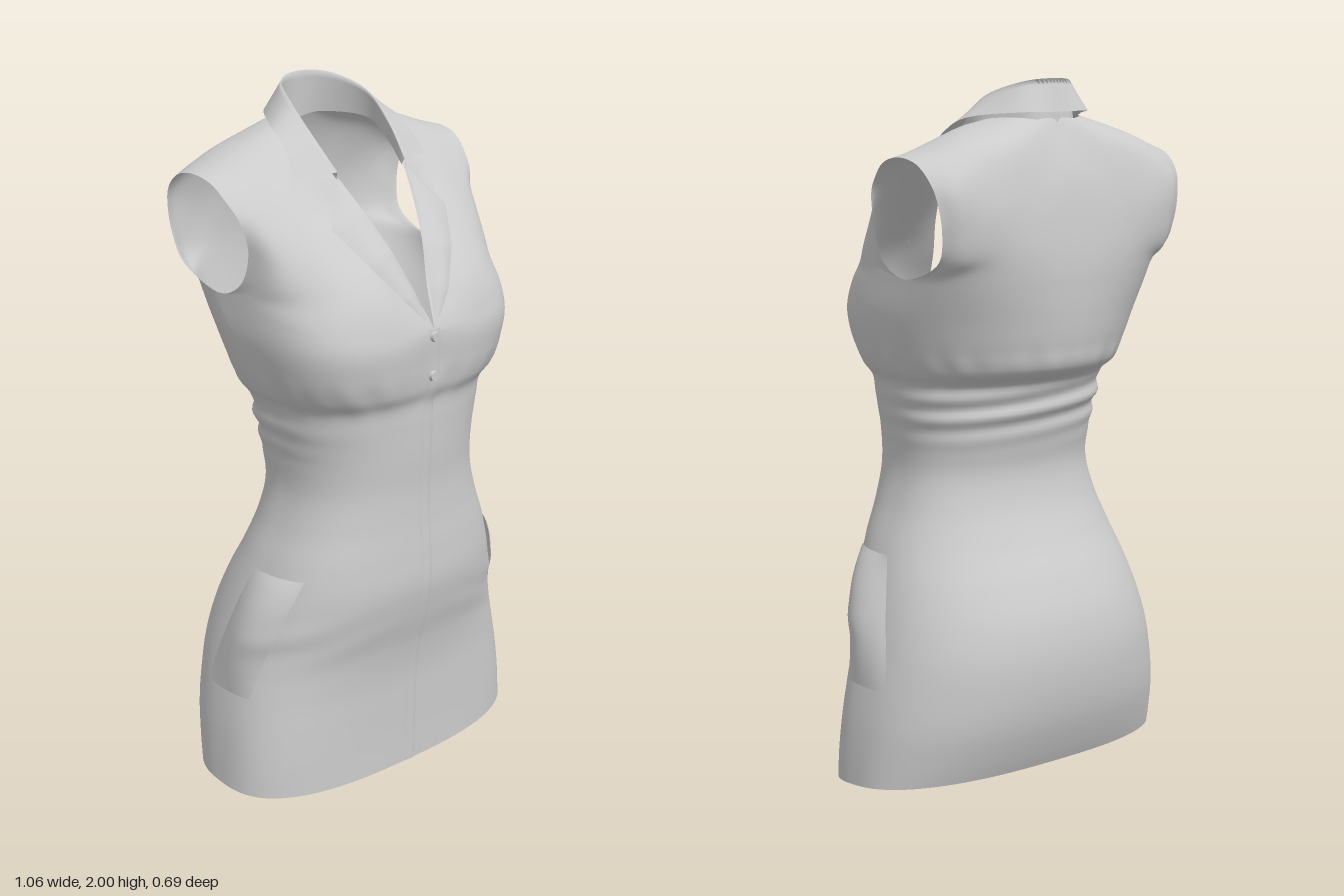
import * as THREE from 'three';
import { mergeGeometries, mergeVertices } from 'three/addons/utils/BufferGeometryUtils.js';

const V = (p) => new THREE.Vector3(...p);
const { lerp } = THREE.MathUtils;
const bell = (x, c, w) => Math.exp(-(((x - c) / w) ** 2));

// Cross-sections: y, half width, front z, back z, z of widest point, front and back squareness
const SECTIONS = [
  [0, .53, .25, -.235, 0, 2.8, 2.5], [.1, .523, .25, -.285, 0, 2.8, 2.4], [.2, .512, .252, -.322, 0, 2.7, 2.35],
  [.3, .494, .256, -.34, 0, 2.6, 2.3], [.4, .47, .27, -.341, 0, 2.5, 2.3], [.5, .445, .295, -.322, .01, 2.5, 2.25],
  [.6, .415, .312, -.28, .02, 2.5, 2.2], [.7, .38, .31, -.225, .04, 2.5, 2.2], [.8, .34, .303, -.18, .05, 2.5, 2.3],
  [.9, .315, .3, -.162, .05, 2.5, 2.3], [1, .318, .305, -.18, .04, 2.5, 2.3], [1.1, .335, .308, -.205, .03, 2.6, 2.2],
  [1.16, .345, .312, -.225, .02, 2.7, 2.1], [1.2, .37, .33, -.303, .01, 2.9, 1.9], [1.27, .393, .342, -.325, 0, 3.2, 1.95],
  [1.36, .41, .343, -.337, -.03, 3.4, 2.1], [1.47, .41, .303, -.344, -.1, 3.5, 2.5],
];

// Upper bodice, one half: rows from the bust to the shoulder, neck edge to armhole edge
const FRONT = [
  [[.03, 1.48, .268], [.165, 1.49, .288], [.29, 1.5, .24], [.385, 1.51, .135], [.412, 1.51, .005]],
  [[.065, 1.59, .21], [.18, 1.6, .195], [.285, 1.6, .17], [.375, 1.6, .115], [.412, 1.605, .04]],
  [[.1, 1.69, .135], [.195, 1.7, .095], [.29, 1.69, .09], [.375, 1.685, .062], [.43, 1.69, .028]],
  [[.125, 1.77, .065], [.21, 1.775, .025], [.3, 1.765, .015], [.39, 1.75, 0], [.445, 1.745, -.015]],
  [[.15, 1.83, -.02], [.225, 1.835, -.045], [.31, 1.815, -.05], [.4, 1.793, -.06], [.453, 1.782, -.062]],
  [[.158, 1.885, -.11], [.23, 1.872, -.115], [.31, 1.845, -.12], [.395, 1.815, -.13], [.457, 1.797, -.13]],
];
// ... and from the shoulder down the back
const BACK = [
  [[.125, 1.895, -.2], [.215, 1.87, -.2], [.31, 1.84, -.205], [.395, 1.805, -.21], [.455, 1.785, -.2]],
  [[.07, 1.89, -.24], [.19, 1.845, -.262], [.3, 1.81, -.265], [.39, 1.77, -.265], [.45, 1.745, -.25]],
  [[0, 1.88, -.252], [.16, 1.8, -.295], [.29, 1.755, -.3], [.39, 1.71, -.3], [.44, 1.69, -.275]],
  [[0, 1.74, -.312], [.15, 1.68, -.325], [.28, 1.65, -.325], [.375, 1.62, -.307], [.425, 1.6, -.278]],
  [[0, 1.58, -.338], [.16, 1.56, -.338], [.28, 1.54, -.32], [.37, 1.52, -.285], [.413, 1.515, -.24]],
];

// Collar edges (seam, fold, outer) from centre back to the notch; lapel edges from notch to top button
const COLLAR = [
  [[0, 1.865, -.243], [.08, 1.875, -.225], [.148, 1.868, -.11], [.145, 1.82, -.02], [.122, 1.765, .066]],
  [[0, 2, -.235], [.09, 1.99, -.2], [.138, 1.95, -.1], [.14, 1.875, -.01], [.125, 1.785, .075]],
  [[0, 1.91, -.264], [.118, 1.91, -.24], [.203, 1.896, -.115], [.225, 1.856, -.035], [.243, 1.775, .035]],
];
const LAPEL = [
  [[.125, 1.77, .078], [.1, 1.69, .15], [.065, 1.59, .222], [.03, 1.48, .28], [.01, 1.385, .325]],
  [[.125, 1.77, .075], [.213, 1.655, .15], [.155, 1.56, .237], [.085, 1.465, .298], [.015, 1.385, .328]],
];

// Smooth interpolation of the section table at height y
function section(y) {
  const S = SECTIONS, last = S.length - 1;
  let i = 0;
  while (i < last - 1 && y > S[i + 1][0]) i++;
  const h = S[i + 1][0] - S[i][0], t = THREE.MathUtils.clamp((y - S[i][0]) / h, 0, 1);
  const slope = (k, c) => {
    const a = S[Math.max(k - 1, 0)], b = S[Math.min(k + 1, last)];
    return (b[c] - a[c]) / (b[0] - a[0]);
  };
  return [1, 2, 3, 4, 5, 6].map((c) =>
    (1 + 2 * t) * (1 - t) ** 2 * S[i][c] + t * (1 - t) ** 2 * h * slope(i, c) +
    t * t * (3 - 2 * t) * S[i + 1][c] + t * t * (t - 1) * h * slope(i + 1, c));
}

// Point on the dress at an angle (0 = front, toward +x) and height, with cloth folds
function onBody(a, y) {
  const [w, zf, zb, zc, nf, nb] = section(y);
  const s = Math.sin(a), c = Math.cos(a), back = (.5 - .5 * c) ** 2, front = Math.max(0, c);
  const n = c > 0 ? nf : nb;
  let r = (Math.abs(s) ** n + Math.abs(c) ** n) ** (-1 / n);
  r *= 1 + .005 * bell(y, 1.21, .045) * (Math.sin(a * 26) + Math.sin(a * 17 + 1))
    + .035 * back * bell(y, 1.08, .07) * Math.sin(y * 95 + 2 * s)
    + .016 * front * s * s * bell(y, .48, .07) * Math.sin(y * 50 + Math.abs(s) * 9);
  const x = w * s * r;
  const dip = c > 0 ? .014 * bell(x, 0, .08) * bell(y, 1.3, .12) : 0;
  return new THREE.Vector3(x, y, zc + (c > 0 ? zf - zc : zc - zb) * c * r - dip);
}
const hemY = (a) => .026 - .026 * Math.cos(a);
const chestY = (a) => 1.465 - .095 * Math.max(0, Math.cos(a)) ** 2;

// Grid surface from a point function of u and v in 0..1
function sheet(nu, nv, fn, mirror = false) {
  const pos = [], idx = [];
  for (let j = 0; j <= nv; j++) for (let i = 0; i <= nu; i++) {
    const p = fn(i / nu, j / nv);
    pos.push(mirror ? -p.x : p.x, p.y, p.z);
  }
  for (let j = 0; j < nv; j++) for (let i = 0; i < nu; i++) {
    const a = j * (nu + 1) + i, b = a + 1, c = a + nu + 1, d = c + 1;
    idx.push(...(mirror ? [a, c, b, b, c, d] : [a, b, c, b, d, c]));
  }
  const g = new THREE.BufferGeometry();
  g.setAttribute('position', new THREE.Float32BufferAttribute(pos, 3));
  g.setIndex(idx);
  g.computeVertexNormals();
  return g;
}
const spline = (pts) => new THREE.CatmullRomCurve3(pts, false, 'catmullrom', .5);
function polyline(pts, t) {
  const f = t * (pts.length - 1), i = Math.min(Math.floor(f), pts.length - 2);
  return pts[i].clone().lerp(pts[i + 1], f - i);
}

export function createModel() {
  const group = new THREE.Group();
  const cloth = new THREE.MeshStandardMaterial({ color: 0xcccccc, side: THREE.DoubleSide });
  const add = (name, geo) => {
    const m = new THREE.Mesh(geo, cloth);
    m.name = name;
    group.add(m);
    return m;
  };

  // Skirt, waist and lower bodice as one loft
  const Q = 36;
  const lower = sheet(Q * 4, 130, (u, v) => {
    const a = u * Math.PI * 2;
    return onBody(a, lerp(hemY(a), chestY(a), v));
  });

  // Upper bodice: each column runs from the bust over the shoulder and down the back.
  // Near the armhole the end tangents turn to round off its lower edge.
  const rows = [...FRONT, ...BACK].map((r) => spline(r.map(V)));
  const columns = Array.from({ length: Q + 1 }, (_, i) => {
    const u = i / Q, f = u * Math.PI / 2, b = Math.PI - f;
    const pts = rows.map((r) => r.getPoint(u));
    return spline([
      onBody(f, chestY(f) - .1).lerp(pts[pts.length - 1], u ** 8), onBody(f, chestY(f)),
      ...pts,
      onBody(b, chestY(b)), onBody(b, chestY(b) - .1).lerp(pts[0], u ** 8),
    ]);
  });
  const upper = (u, v) => {
    const p = columns[Math.round(u * Q)].getPoint((1 + v * 12) / 14);
    p.x = Math.max(0, p.x);
    return p;
  };
  const parts = [lower, sheet(Q, 72, upper), sheet(Q, 72, upper, true)];
  parts.forEach((g) => g.deleteAttribute('normal'));
  const dress = mergeVertices(mergeGeometries(parts), 1e-4);
  dress.computeVertexNormals();
  add('dressBody', dress);

  // Folded collar, running round the neck from notch to notch
  const edges = COLLAR.map((e) => spline([
    ...e.slice(1).reverse().map(([x, y, z]) => V([-x, y, z])), ...e.map(V),
  ]));
  add('collar', sheet(64, 12, (u, v) => polyline(edges.map((e) => e.getPoint(u)), v)));

  // Lapels folded back along the neckline
  const lapelEdges = LAPEL.map((e) => e.map(V));
  const lapel = (u, v) => {
    const p = polyline(lapelEdges[0], u).lerp(polyline(lapelEdges[1], u), v);
    p.z += .012 * Math.sin(Math.PI * v) * Math.sin(Math.PI * u);
    return p;
  };
  // Hip pockets: a swell on the side of the hip with a slanted front edge
  const pocket = (u, v) => {
    const a = 1.02 + .2 * u + .6 * v;
    const lift = .003 + .036 * Math.sin(Math.PI * u ** .75) * Math.sin(Math.PI * (.12 + .88 * v));
    return onBody(a, lerp(.67, .31, u)).add(new THREE.Vector3(Math.sin(a) * lift, 0, Math.cos(a) * lift));
  };
  for (const [side, mirror] of [['left', false], ['right', true]]) {
    add(side + 'Lapel', sheet(32, 8, lapel, mirror));
    add(side + 'Pocket', sheet(24, 16, pocket, !mirror).scale(-1, 1, 1));
  }

  // Button placket down the centre front, and its facing inside
  for (const [name, depth] of [['placket', .005], ['placketFacing', -.014]]) {
    add(name, sheet(6, 90, (u, v) => {
      const x = lerp(-.02, .022, u), y = lerp(.002, 1.375, v);
      const p = onBody(Math.asin(x / section(y)[0]), y);
      p.z += depth * Math.sin(Math.PI * u) ** .5;
      return p;
    }));
  }

  // Buttons
  for (const y of [1.24, 1.355]) {
    const b = add('button', new THREE.CylinderGeometry(.013, .015, .01, 20).rotateX(Math.PI / 2));
    b.position.set(-.005, y, onBody(0, y).z + .009);
  }
  return group;
}
